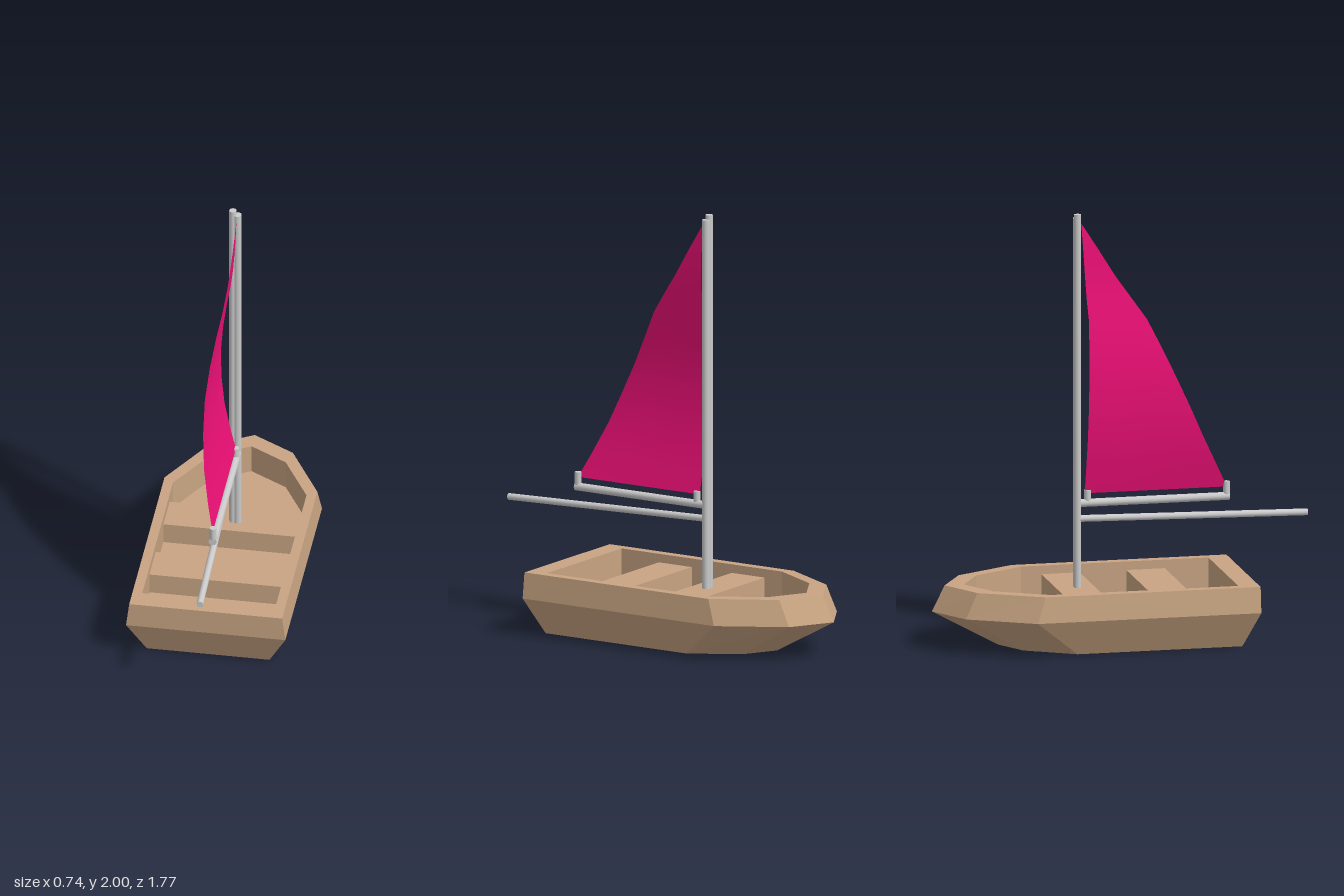
import * as THREE from 'three';

const wood = new THREE.MeshStandardMaterial({ color: 0xc8a482, flatShading: true });
const grey = new THREE.MeshStandardMaterial({ color: 0xcccccc });
const cloth = new THREE.MeshStandardMaterial({ color: 0xf01078, side: THREE.DoubleSide });

const FLOOR = 0.15, SEAT = 0.25;

function add(parent, name, geometry, material) {
  const mesh = new THREE.Mesh(geometry, material);
  mesh.name = name;
  parent.add(mesh);
  return mesh;
}

// Seven-point boat outline: square stern, straight sides, pointed bow
function outline(y, half, stern, shoulder, bowX, bowZ, tip) {
  return [
    [half, y, stern], [half, y, shoulder], [bowX, y, bowZ], [0, y, tip],
    [-bowX, y, bowZ], [-half, y, shoulder], [-half, y, stern],
  ];
}

// Skin stacked outlines, closing the first underneath and the last on top
function loft(rings) {
  const n = rings[0].length;
  const index = [];
  for (let r = 0; r < rings.length - 1; r++) {
    for (let i = 0; i < n; i++) {
      const a = r * n + i, b = r * n + (i + 1) % n;
      index.push(a, b, b + n, a, b + n, a + n);
    }
  }
  const last = (rings.length - 1) * n;
  for (let i = 1; i < n - 1; i++) {
    index.push(0, i + 1, i, last, last + i, last + i + 1);
  }
  const g = new THREE.BufferGeometry();
  g.setAttribute('position', new THREE.Float32BufferAttribute(rings.flat(2), 3));
  g.setIndex(index);
  const flat = g.toNonIndexed();
  flat.computeVertexNormals();
  return flat;
}

// Round pole between two points
function pole(parent, name, from, to, radius) {
  const a = new THREE.Vector3(...from), b = new THREE.Vector3(...to);
  const dir = b.clone().sub(a);
  const mesh = add(parent, name, new THREE.CylinderGeometry(radius, radius, dir.length(), 12), grey);
  mesh.position.copy(a).add(b).multiplyScalar(0.5);
  mesh.quaternion.setFromUnitVectors(new THREE.Vector3(0, 1, 0), dir.normalize());
  return mesh;
}

// Sail rows: height, luff z, leech z, sideways belly x
function sailGeometry() {
  const rows = [
    [0.685, -0.162, 0.507, 0.02], [0.80, -0.161, 0.45, -0.01], [0.944, -0.159, 0.38, -0.04],
    [1.09, -0.157, 0.315, -0.055], [1.236, -0.155, 0.247, -0.058], [1.37, -0.153, 0.184, -0.046],
    [1.50, -0.151, 0.12, -0.026], [1.60, -0.158, 0.05, -0.007], [1.70, -0.163, -0.02, 0.006],
    [1.83, -0.17, -0.10, 0.015], [1.95, -0.178, -0.176, 0.02],
  ];
  const cols = 4, pos = [], index = [];
  rows.forEach(([y, luff, leech, x], r) => {
    for (let c = 0; c <= cols; c++) {
      const t = c / cols;
      pos.push(0.02 + (x - 0.02) * (0.88 + 0.12 * t), y, luff + (leech - luff) * t);
      if (r < rows.length - 1 && c < cols) {
        const a = r * (cols + 1) + c, b = a + cols + 1;
        index.push(a, b, a + 1, a + 1, b, b + 1);
      }
    }
  });
  const g = new THREE.BufferGeometry();
  g.setAttribute('position', new THREE.Float32BufferAttribute(pos, 3));
  g.setIndex(index);
  g.computeVertexNormals();
  return g;
}

export function createModel() {
  const boat = new THREE.Group();
  boat.name = 'sailboat';

  // Hull: keel plate, chine, gunwale, inner rim, cockpit floor
  add(boat, 'hull', loft([
    outline(0, 0.285, 0.51, -0.265, 0.15, -0.49, -0.575),
    outline(0.17, 0.37, 0.58, -0.47, 0.20, -0.77, -0.885),
    outline(0.29, 0.355, 0.58, -0.43, 0.195, -0.715, -0.825),
    outline(0.29, 0.31, 0.485, -0.395, 0.175, -0.635, -0.735),
    outline(FLOOR, 0.31, 0.485, -0.395, 0.175, -0.635, -0.735),
  ]), wood);

  // Two cross benches
  for (const [name, z] of [['mastBench', -0.21], ['sternBench', 0.19]]) {
    const bench = add(boat, name, new THREE.BoxGeometry(0.62, SEAT - FLOOR, 0.18), wood);
    bench.position.set(0, (SEAT + FLOOR) / 2, z);
  }

  // Mast pair, boom, lower spar and the pegs holding the sail foot
  const rig = new THREE.Group();
  rig.name = 'rigging';
  boat.add(rig);
  pole(rig, 'mast', [0, SEAT, -0.2], [0, 2, -0.2], 0.017);
  pole(rig, 'sailMast', [0.022, SEAT, -0.198], [0.022, 1.98, -0.198], 0.019);
  pole(rig, 'boom', [0.022, 0.64, -0.19], [0.022, 0.64, 0.517], 0.019);
  pole(rig, 'lowerSpar', [0.003, 0.572, -0.19], [0.022, 0.547, 0.885], 0.016);
  pole(rig, 'aftPeg', [0.022, 0.65, 0.505], [0.022, 0.71, 0.505], 0.016);
  pole(rig, 'forePeg', [0.022, 0.65, -0.148], [0.022, 0.70, -0.148], 0.016);

  add(boat, 'sail', sailGeometry(), cloth);
  return boat;
}
